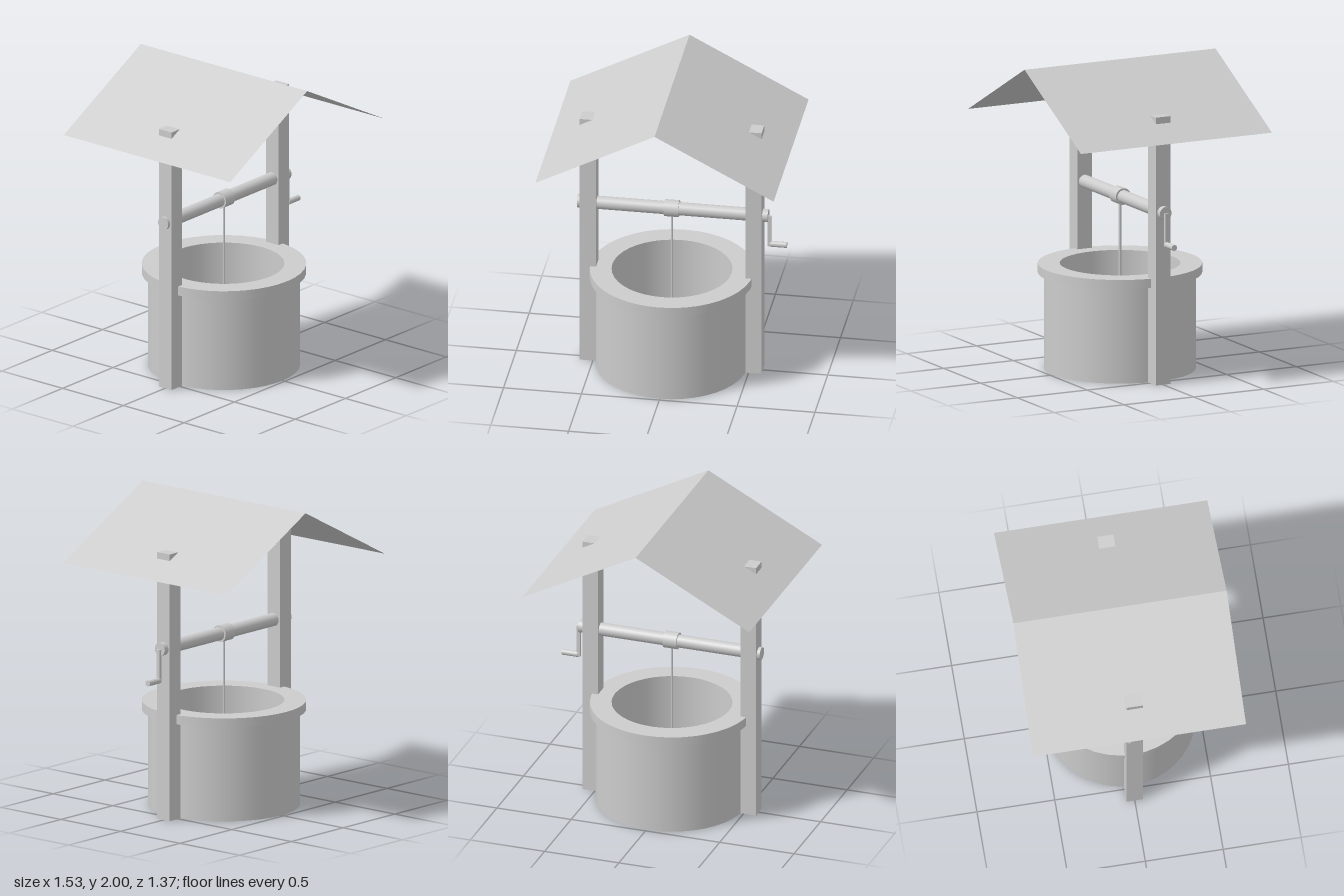
import * as THREE from 'three';

const SEGMENTS = 40;

export function createModel() {
  const model = new THREE.Group();
  model.name = 'well';
  const grey = new THREE.MeshStandardMaterial({ color: 0xcccccc, side: THREE.DoubleSide });
  grey.name = 'plain grey';

  const add = (name, geometry, x = 0, y = 0, z = 0) => {
    const mesh = new THREE.Mesh(geometry, grey);
    mesh.name = name;
    mesh.position.set(x, y, z);
    model.add(mesh);
    return mesh;
  };
  // Open upright tube wall between two heights
  const wall = (name, radius, y0, y1) =>
    add(name, new THREE.CylinderGeometry(radius, radius, y1 - y0, SEGMENTS, 1, true), 0, (y0 + y1) / 2);
  // Flat ring, facing up or down
  const ring = (name, inner, outer, y, up) =>
    add(name, new THREE.RingGeometry(inner, outer, SEGMENTS).rotateX(up ? -Math.PI / 2 : Math.PI / 2), 0, y);
  // Closed rod along x
  const rod = (name, radius, x0, x1, y) =>
    add(name, new THREE.CylinderGeometry(radius, radius, x1 - x0, 24).rotateZ(Math.PI / 2), (x0 + x1) / 2, y);

  // Hollow basin: outer shell, inner shaft with a floor, and an overhanging rim
  wall('outerWall', 0.483, 0, 0.62);
  wall('innerWall', 0.383, 0.056, 0.68);
  add('shaftFloor', new THREE.CircleGeometry(0.383, SEGMENTS).rotateX(Math.PI / 2), 0, 0.056);
  wall('rimEdge', 0.522, 0.62, 0.68);
  ring('rimTop', 0.383, 0.522, 0.68, true);
  ring('rimUnderside', 0.383, 0.522, 0.62, false);

  // Posts and roof slopes, mirrored left and right
  for (const side of [-1, 1]) {
    const label = side > 0 ? 'left' : 'right';
    add(label + 'Post', new THREE.BoxGeometry(0.105, 1.737, 0.105), side * 0.532, 0.8685);
    const slope = new THREE.PlaneGeometry(Math.hypot(0.765, 0.4), 1.37).rotateX(-Math.PI / 2);
    const roof = add(label + 'Roof', slope, side * 0.3825, 1.8);
    roof.rotation.z = -side * Math.atan2(0.4, 0.765);
  }

  // Windlass with its rope drum
  rod('axle', 0.042, -0.605, 0.62, 1.117);
  rod('ropeDrum', 0.054, -0.046, 0.046, 1.117);
  add('rope', new THREE.CylinderGeometry(0.008, 0.008, 0.8, 12), 0, 0.7);

  // Crank
  add('crankArm', new THREE.BoxGeometry(0.022, 0.215, 0.022), 0.627, 1.01);
  rod('crankHandle', 0.019, 0.63, 0.738, 0.916);

  return model;
}
